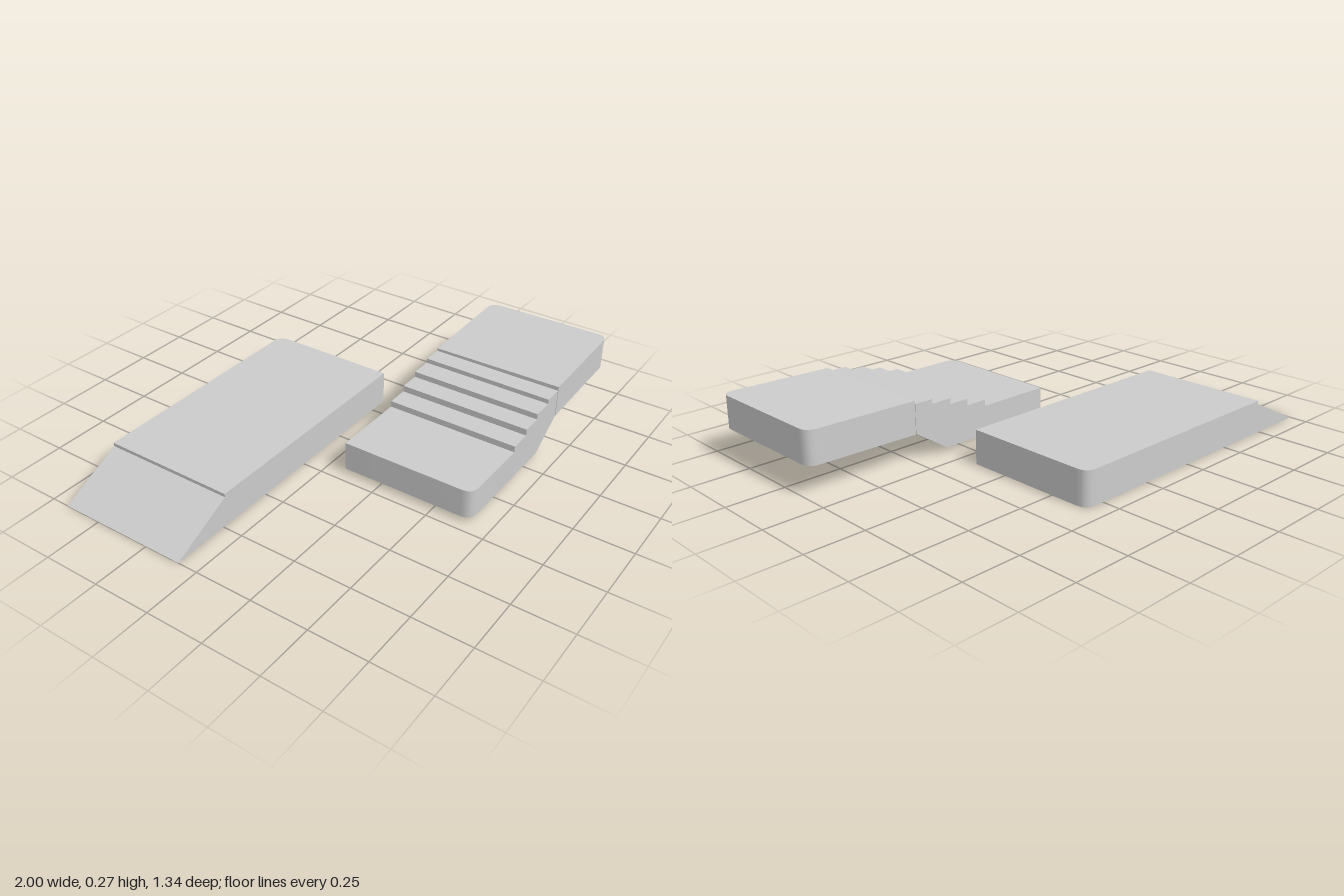
import * as THREE from 'three';
import { toCreasedNormals } from 'three/addons/utils/BufferGeometryUtils.js';

const material = new THREE.MeshStandardMaterial({ color: 0xcccccc });

function addPart(group, name, geometry) {
  const mesh = new THREE.Mesh(toCreasedNormals(geometry, 0.6), material);
  mesh.name = name;
  group.add(mesh);
}

// Flat slab from a plan outline; r holds the corner radii at
// (x0,z0), (x1,z0), (x1,z1), (x0,z1).
function slab(x0, x1, z0, z1, y0, y1, r) {
  const corners = [[x0, z0], [x1, z0], [x1, z1], [x0, z1]];
  const steps = [[1, 0], [0, 1], [-1, 0], [0, -1]];
  const shape = new THREE.Shape();
  corners.forEach(([x, z], i) => {
    const before = steps[(i + 3) % 4], after = steps[i], k = r[i];
    const sx = x - before[0] * k, sz = z - before[1] * k;
    if (i === 0) shape.moveTo(sx, sz); else shape.lineTo(sx, sz);
    if (k > 0) shape.quadraticCurveTo(x, z, x + after[0] * k, z + after[1] * k);
  });
  shape.closePath();
  const g = new THREE.ExtrudeGeometry(shape, { depth: y1 - y0, bevelEnabled: false, curveSegments: 10 });
  return g.rotateX(Math.PI / 2).translate(0, y1, 0);
}

// Side profile (x, y) carried across the width.
function profile(points, z0, z1) {
  const shape = new THREE.Shape(points.map(p => new THREE.Vector2(...p)));
  return new THREE.ExtrudeGeometry(shape, { depth: z1 - z0, bevelEnabled: false }).translate(0, 0, z0);
}

export function createModel() {
  const model = new THREE.Group();
  model.name = 'rampAndStairs';

  // Long platform with a sloping end
  const platform = new THREE.Group();
  platform.name = 'rampPlatform';
  addPart(platform, 'platformDeck', slab(-0.73, 0.34, -0.672, -0.088, 0, 0.145, [0, 0.05, 0, 0]));
  addPart(platform, 'ramp', profile([[-1, 0], [-0.73, 0], [-0.73, 0.13]], -0.672, -0.088));
  model.add(platform);

  // Two landings joined by a short flight
  const stairs = new THREE.Group();
  stairs.name = 'stairway';
  addPart(stairs, 'lowerLanding', slab(-0.2, 0.13, 0.088, 0.67, 0.02, 0.145, [0, 0, 0, 0.05]));

  const outline = [[0.13, 0.02], [0.34, 0.02], [0.495, 0.12], [0.495, 0.245]];
  const treads = [[0.41, 0.245], [0.315, 0.225], [0.225, 0.2], [0.13, 0.172]];
  treads.forEach(([x, y], i) => {
    if (i > 0) outline.push([treads[i - 1][0], y]);
    outline.push([x, y]);
  });
  addPart(stairs, 'steps', profile(outline, 0.088, 0.67));

  // Upper landing leans up and aside very slightly
  const upper = slab(0.495, 0.995, 0.09, 0.67, 0.12, 0.26, [0, 0.05, 0.05, 0]);
  const p = upper.attributes.position;
  for (let i = 0; i < p.count; i++) {
    const run = p.getX(i) - 0.495, across = 0.67 - p.getZ(i);
    p.setXYZ(i, p.getX(i) - 0.008 * (across - 0.58), p.getY(i) + 0.02 * run - 0.004 * across, p.getZ(i) - 0.01 * run);
  }
  upper.computeVertexNormals();
  addPart(stairs, 'upperLanding', upper);
  model.add(stairs);

  return model;
}
